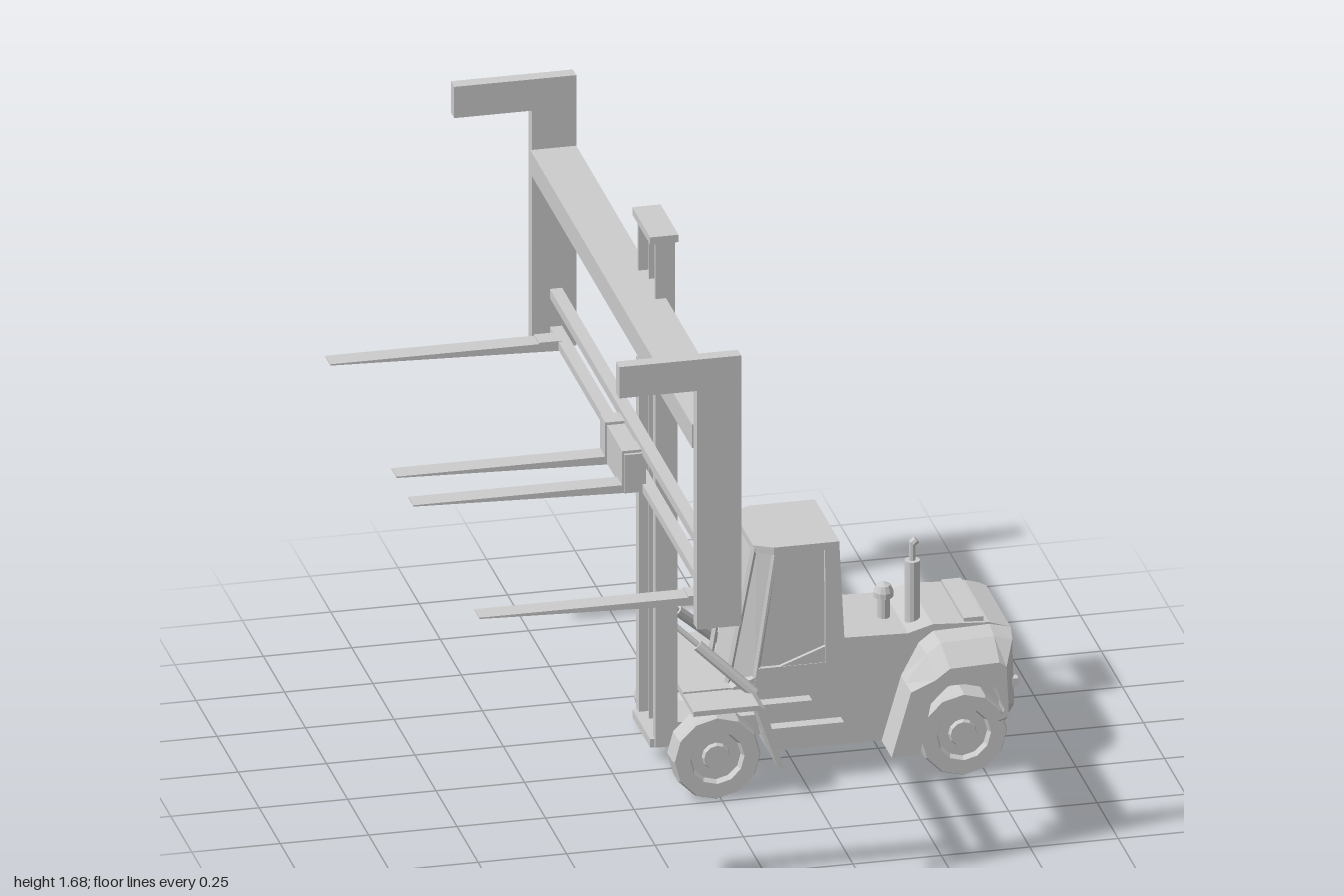
import * as THREE from 'three';
import { ConvexGeometry } from 'three/addons/geometries/ConvexGeometry.js';

const grey = new THREE.MeshStandardMaterial({ color: 0xcccccc, flatShading: true, side: THREE.DoubleSide });

export function createModel() {
  const root = new THREE.Group();
  root.name = 'forklift';

  const add = (name, geometry) => {
    const m = new THREE.Mesh(geometry, grey);
    m.name = name;
    root.add(m);
    return m;
  };
  // Box given by its limits on each axis
  const box = (name, x0, x1, y0, y1, z0, z1) =>
    add(name, new THREE.BoxGeometry(x1 - x0, y1 - y0, z1 - z0)
      .translate((x0 + x1) / 2, (y0 + y1) / 2, (z0 + z1) / 2));
  // Side profile in x, y pulled from z0 to z1
  const slab = (pts, z0, z1, hole) => {
    const v = (list) => list.map(([x, y]) => new THREE.Vector2(x, y));
    const s = new THREE.Shape(v(pts));
    if (hole) s.holes.push(new THREE.Path(v(hole)));
    return new THREE.ExtrudeGeometry(s, { depth: z1 - z0, bevelEnabled: false }).translate(0, 0, z0);
  };
  // Round or square bar between two points
  const bar = (name, a, b, r, sides = 8) => {
    const p = new THREE.Vector3(...a), q = new THREE.Vector3(...b);
    const m = add(name, new THREE.CylinderGeometry(r, r, p.distanceTo(q), sides));
    m.position.copy(p).add(q).multiplyScalar(0.5);
    m.quaternion.setFromUnitVectors(new THREE.Vector3(0, 1, 0), q.sub(p).normalize());
  };
  const span = (s, a, b) => (s > 0 ? [a, b] : [-b, -a]);

  // Main body and hood
  add('body', slab([[0.155, 0.09], [0.80, 0.09], [0.845, 0.16], [0.84, 0.395], [0.78, 0.415], [0.62, 0.425],
    [0.55, 0.405], [0.37, 0.41], [0.05, 0.29], [0.12, 0.25]], -0.145, 0.145));
  const grille = box('hoodGrille', 0.71, 0.765, 0.418, 0.432, -0.135, 0.135);
  grille.position.y = -0.002;

  // Rear fenders, sloping down and inwards towards the outside
  const fenderProfile = [[0.475, 0.09], [0.53, 0.28], [0.58, 0.375], [0.62, 0.405], [0.78, 0.41], [0.84, 0.395],
    [0.845, 0.16], [0.815, 0.11], [0.805, 0.18], [0.77, 0.27], [0.735, 0.29], [0.635, 0.29], [0.585, 0.24], [0.555, 0.09]];
  for (const s of [1, -1]) {
    const steps = [0.145, 0.20, 0.265];
    for (let i = 0; i < 2; i++) {
      const g = slab(fenderProfile, ...span(s, steps[i], steps[i + 1]));
      const p = g.attributes.position;
      for (let k = 0; k < p.count; k++) {
        const x = p.getX(k), y = p.getY(k), z = Math.abs(p.getZ(k));
        const out = Math.max(0, (z - 0.145) / 0.12);
        if (y > 0.3) p.setY(k, y - 0.065 * out * out);
        if (x < 0.63 && y > 0.3) p.setX(k, x + 0.02 * out);
        if (x > 0.81) p.setX(k, x - 0.04 * out * out);
        if (x > 0.81 && y < 0.2) p.setY(k, y + 0.06 * out);
      }
      g.computeVertexNormals();
      add('rearFender', g);
    }
    // Tail lamps
    box('tailLamp', 0.82, 0.846, 0.245, 0.27, ...span(s, 0.19, 0.215));
    // Front mudguard: flat top with a sloping flap
    add('frontMudguard', slab([[-0.085, 0.27], [-0.085, 0.285], [0.10, 0.285], [0.12, 0.27], [0.17, 0.09],
      [0.155, 0.09], [0.095, 0.27]], ...span(s, 0.14, 0.265)));
    // Side steps
    box('upperStep', 0.10, 0.27, 0.238, 0.248, ...span(s, 0.14, 0.182));
    box('lowerStep', 0.13, 0.36, 0.163, 0.173, ...span(s, 0.14, 0.182));
  }

  // Rear vents between the fenders
  box('rearPanel', 0.835, 0.849, 0.20, 0.36, -0.10, 0.10);

  // Wheels: twelve-sided tyre with a dished rim and a hub
  const wheelProfile = [[0, -0.03], [0.12, -0.04], [0.125, -0.03], [0.125, 0.03], [0.12, 0.04], [0.077, 0.04],
    [0.07, 0.022], [0.04, 0.022], [0.036, 0.036], [0, 0.036]].map(([r, y]) => new THREE.Vector2(r, y));
  for (const [name, x] of [['frontWheel', -0.012], ['rearWheel', 0.685]]) {
    for (const s of [1, -1]) {
      const w = add(name, new THREE.LatheGeometry(wheelProfile, 12));
      w.rotation.x = s * Math.PI / 2;
      w.position.set(x, 0.127, s * 0.20);
    }
    bar('axle', [x, 0.127, -0.19], [x, 0.127, 0.19], 0.03);
  }
  box('frontChassis', -0.10, 0.16, 0.11, 0.17, -0.07, 0.07);
  box('frontFloor', -0.085, 0.10, 0.27, 0.29, -0.14, 0.14);

  // Cab: glazed core, side frames with window openings, roof and rear frame
  add('cabGlass', slab([[0.12, 0.29], [0.178, 0.69], [0.345, 0.69], [0.358, 0.40], [0.358, 0.29]], -0.134, 0.134));
  for (const s of [1, -1]) {
    add('cabSide', slab([[0.115, 0.29], [0.175, 0.70], [0.355, 0.70], [0.37, 0.40], [0.37, 0.29]],
      ...span(s, 0.132, 0.147), [[0.125, 0.342], [0.182, 0.68], [0.315, 0.68], [0.317, 0.342]]));
    // Angled front pillars
    bar('frontPillar', [0.05, 0.29, s * 0.10], [0.122, 0.695, s * 0.115], 0.009, 4);
    bar('sidePillar', [0.117, 0.29, s * 0.138], [0.177, 0.695, s * 0.138], 0.009, 4);
  }
  const corners = [];
  for (const s of [1, -1])
    for (const [x, y, z] of [[0.06, 0.29, 0.095], [0.13, 0.69, 0.108], [0.18, 0.69, 0.134], [0.12, 0.29, 0.134]])
      corners.push(new THREE.Vector3(x, y, s * z));
  add('windshield', new ConvexGeometry(corners));
  const roof = [];
  for (const s of [1, -1])
    for (const y of [0.68, 0.702])
      for (const [x, z] of [[0.118, 0.118], [0.17, 0.147], [0.356, 0.147]]) roof.push(new THREE.Vector3(x, y, s * z));
  add('roof', new ConvexGeometry(roof));
  box('rearCabFrame', 0.345, 0.368, 0.40, 0.44, -0.145, 0.145);

  // Exhaust stack and air intake
  bar('exhaustMuffler', [0.58, 0.40, 0.068], [0.58, 0.59, 0.068], 0.022, 12);
  bar('exhaustPipe', [0.58, 0.58, 0.068], [0.58, 0.645, 0.068], 0.009);
  bar('exhaustTip', [0.58, 0.64, 0.068], [0.592, 0.65, 0.068], 0.012);
  bar('intakeStem', [0.51, 0.39, 0.02], [0.51, 0.47, 0.02], 0.018, 12);
  const cap = add('intakeCap', new THREE.LatheGeometry([[0, -0.005], [0.028, 0], [0.028, 0.015], [0.02, 0.034], [0, 0.042]]
    .map(([r, y]) => new THREE.Vector2(r, y)), 12));
  cap.position.set(0.51, 0.468, 0.02);

  // Mast with tilt cylinders
  for (const s of [1, -1]) {
    box('outerMastRail', -0.157, -0.095, 0.12, 1.20, ...span(s, 0.083, 0.115));
    box('innerMastRail', -0.155, -0.10, 0.14, 1.635, ...span(s, 0.094, 0.106));
    box('liftRod', -0.14, -0.115, 0.14, 1.635, ...span(s, 0.032, 0.04));
    bar('tiltRod', [-0.097, 0.475, s * 0.105], [0.0, 0.385, s * 0.135], 0.008);
    bar('tiltCylinder', [-0.04, 0.42, s * 0.123], [0.11, 0.28, s * 0.168], 0.016);
  }
  box('mastCap', -0.17, -0.09, 1.63, 1.652, -0.106, 0.106);
  box('mastFoot', -0.17, -0.10, 0.118, 0.143, -0.106, 0.106);

  // Wide load frame
  for (const s of [1, -1]) {
    add('endPost', slab([[-0.125, 0.865], [-0.125, 1.677], [-0.47, 1.677], [-0.47, 1.583], [-0.25, 1.583], [-0.25, 0.865]],
      ...span(s, 0.96, 1.0)));
  }
  box('crossBeam', -0.255, -0.125, 1.395, 1.465, -0.96, 0.96);
  box('upperBar', -0.20, -0.165, 1.015, 1.042, -0.96, 0.96);
  box('lowerBar', -0.20, -0.165, 0.903, 0.928, -0.96, 0.96);
  box('carriagePlate', -0.25, -0.19, 0.905, 1.02, -0.14, 0.14);

  // Tapered forks
  for (const z of [-0.886, -0.10, 0.10, 0.886]) {
    add('fork', slab([[-0.19, 0.90], [-0.19, 0.926], [-0.845, 0.926], [-0.845, 0.922], [-0.25, 0.902]], z - 0.03, z + 0.03));
    box('forkShank', -0.255, -0.19, 0.903, Math.abs(z) > 0.5 ? 0.93 : 1.028, z - 0.03, z + 0.03);
  }
  return root;
}
